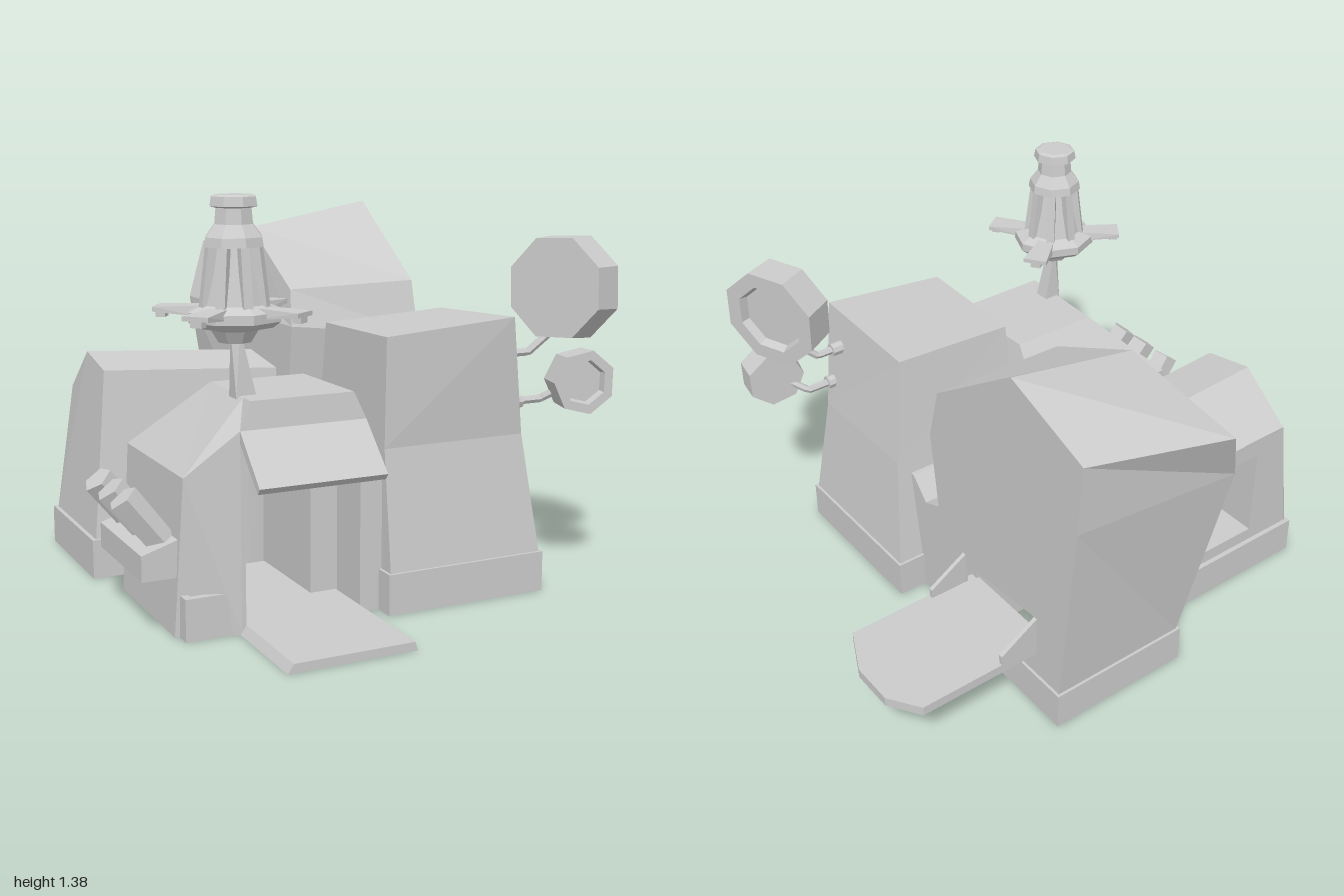
import * as THREE from 'three';
import { ConvexGeometry } from 'three/addons/geometries/ConvexGeometry.js';

const mat = new THREE.MeshStandardMaterial({ color: 0xcccccc, flatShading: true, side: THREE.DoubleSide });
const V = (x, y, z) => new THREE.Vector3(x, y, z);
const outline = pts => pts.map(p => new THREE.Vector2(...p));
const corners = (x0, x1, y0, y1) => [[x0, y0], [x1, y0], [x1, y1], [x0, y1]];

export function createModel() {
  const group = new THREE.Group();

  const add = (name, geo, parent = group) => {
    const m = new THREE.Mesh(geo, mat);
    m.name = name;
    parent.add(m);
    return m;
  };
  // Box given by its limits on each axis
  const box = (name, x0, x1, y0, y1, z0, z1, parent = group) => {
    const m = add(name, new THREE.BoxGeometry(x1 - x0, y1 - y0, z1 - z0), parent);
    m.position.set((x0 + x1) / 2, (y0 + y1) / 2, (z0 + z1) / 2);
  };
  const hull = (name, pts, parent = group) => add(name, new ConvexGeometry(pts.map(p => V(...p))), parent);
  // Flat polygons, each a loop of corners
  const panels = (name, polys) => {
    const pos = [];
    for (const p of polys)
      for (let i = 1; i < p.length - 1; i++) pos.push(...p[0], ...p[i], ...p[i + 1]);
    const g = new THREE.BufferGeometry();
    g.setAttribute('position', new THREE.Float32BufferAttribute(pos, 3));
    g.computeVertexNormals();
    add(name, g);
  };
  // Side faces between matching loops, leaving out some sides of the first band
  const band = (rings, skip = []) => {
    const polys = [];
    for (let b = 0; b < rings.length - 1; b++)
      rings[b].forEach((p, i) => {
        const j = (i + 1) % rings[b].length;
        if (b || !skip.includes(i)) polys.push([p, rings[b][j], rings[b + 1][j], rings[b + 1][i]]);
      });
    return polys;
  };
  // Upright wall with an opening
  const wall = (name, outer, hole) => {
    const s = new THREE.Shape(outline(outer));
    s.holes.push(new THREE.Path(outline(hole)));
    return add(name, new THREE.ShapeGeometry(s));
  };
  // Thin hollow foundation with a lip on top
  const plinth = (name, x0, x1, z0, z1) => {
    const loop = (y, d) => corners(x0 + d, x1 - d, z0 + d, z1 - d).map(([x, z]) => [x, y, z]);
    panels(name, band([loop(0, 0), loop(0.14, 0), loop(0.14, 0.025)]));
  };
  const plate = (name, pts, depth) =>
    add(name, new THREE.ExtrudeGeometry(new THREE.Shape(outline(pts)), { depth, bevelEnabled: false }));

  // Tall rear building with a slanted ridge, a bulging side and a side hatch
  plinth('tallBuildingPlinth', -0.11, 0.44, -0.805, -0.14);
  const right = [[-0.145, 0.14], [-0.065, 0.8], [-0.12, 1.0], [-0.53, 1.28], [-0.885, 1.15], [-0.865, 0.88], [-0.795, 0.14]]
    .map(([z, y]) => [0.43, y, z]);
  const left = [[-0.1, 0.14, -0.145], [-0.1, 0.86, -0.066], [-0.08, 0.99, -0.12], [-0.06, 1.19, -0.53],
    [-0.08, 1.1, -1.0], [-0.17, 0.88, -0.93], [-0.1, 0.14, -0.795]];
  panels('tallBuilding', [
    ...band([right, left], [6]),
    [left[0], left[1], left[5], left[6]], left.slice(1, 6)]);
  const hatchWall = wall('hatchWall', right.map(([, y, z]) => [-z, y]),
    [[0.265, 0.265], [0.65, 0.265], [0.65, 0.39], [0.265, 0.35]]);
  hatchWall.rotation.y = Math.PI / 2;
  hatchWall.position.x = 0.43;

  // Landing platform with side brackets
  const deck = plate('landingPlatform',
    [[0.38, 0.24], [0.89, 0.24], [0.965, 0.4], [0.965, 0.56], [0.89, 0.67], [0.38, 0.67]], 0.035);
  deck.rotation.x = -Math.PI / 2;
  deck.position.y = 0.23;
  for (const z of [-0.67, -0.26])
    plate('platformBracket', [[0.42, 0.25], [0.575, 0.25], [0.575, 0.3], [0.43, 0.39]], 0.015).position.z = z;

  // Front tower, pinched part way up
  plinth('towerPlinth', -0.1, 0.5, 0.075, 0.695);
  const towerRings = [
    [[-0.09, 0.14, 0.685], [0.49, 0.14, 0.685], [0.49, 0.14, 0.085], [-0.09, 0.14, 0.085]],
    [[-0.09, 0.55, 0.635], [0.44, 0.55, 0.635], [0.44, 0.55, 0.145], [-0.09, 0.55, 0.145]],
    [[-0.09, 0.92, 0.645], [0.38, 0.96, 0.67], [0.375, 0.935, 0.2], [-0.09, 0.91, 0.2]]];
  panels('frontTower', [...band(towerRings), towerRings[2]]);

  // Passages joining the buildings
  const passage = (name, x0, x1, prof) => {
    const ends = [x0, x1].map(x => prof.map(([z, y]) => [x, y, z]));
    panels(name, [...band(ends), ...ends.flatMap(e => [[e[0], e[1], e[2], e[3]], [e[0], e[3], e[4], e[5]]])]);
  };
  passage('centralPassage', -0.27, 0.39, [[0.45, 0], [0.45, 0.49], [0.12, 0.49], [0.045, 0.41], [-0.27, 0.54], [-0.27, 0]]);
  box('sidePassage', -0.69, -0.33, 0, 0.4, -0.43, 0.06);
  box('frontPassage', -0.17, -0.085, 0, 0.49, 0.17, 0.62);

  // Low rear building with an opening in its back wall
  plinth('lowBuildingPlinth', -0.86, -0.1, -0.615, -0.1);
  const prof = [[-0.6, 0.14], [-0.595, 0.61], [-0.39, 0.77], [-0.19, 0.73], [-0.11, 0.14]];
  const ends = [
    prof.map(([z, y]) => [y < 0.2 ? -0.845 : -0.775, y, z]),
    prof.map(([z, y]) => [-0.1, y > 0.7 ? y - 0.04 : y, z])];
  panels('lowBuilding', [...band(ends, [0, 4]), ...ends]);
  const win = [-0.65, -0.24, 0.19, 0.54];
  wall('lowBuildingBackWall', [[-0.845, 0.14], [-0.1, 0.14], [-0.1, 0.61], [-0.775, 0.61]], corners(...win)).position.z = -0.597;
  const [nicheFront, nicheBack] = [-0.597, -0.43].map(z => corners(...win).map(p => [...p, z]));
  panels('windowNiche', [...band([nicheFront, nicheBack]), nicheBack]);
  box('windowCabinet', -0.52, -0.42, 0.26, 0.4, -0.49, -0.43);

  // Entrance building: hipped hollow body, doorway, awning and ramp
  const rings = [
    [[-0.16, 0, 0.64], [-0.6, 0, 0.64], [-0.8, 0, 0.57], [-0.8, 0, 0.05], [-0.13, 0, 0.05]],
    [[-0.16, 0.66, 0.64], [-0.6, 0.66, 0.64], [-0.775, 0.52, 0.6], [-0.775, 0.52, 0.06], [-0.16, 0.52, 0.06]],
    [[-0.2, 0.75, 0.63], [-0.56, 0.75, 0.63], [-0.56, 0.75, 0.57], [-0.55, 0.75, 0.27], [-0.21, 0.75, 0.27]]];
  panels('entranceBuilding', [...band(rings, [0]), rings[2]]);
  wall('entranceWall', corners(-0.6, -0.16, 0, 0.66), corners(-0.585, -0.175, 0.03, 0.6)).position.z = 0.64;
  plinth('entrancePlinth', -0.785, -0.6, 0.04, 0.63);
  hull('awning', [-0.6, -0.16].flatMap(x => [[x, 0.66, 0.64], [x, 0.62, 0.64], [x, 0.51, 0.79], [x, 0.49, 0.775]]));
  hull('rampAndFloor', [
    ...corners(-0.605, -0.165, 0.06, 1).map(([x, z]) => [x, 0, z]),
    ...corners(-0.585, -0.175, 0.06, 1).map(([x, z]) => [x, 0.03, z])]);

  // Side ledge with three slanted tubes
  hull('sideLedge', [0.15, 0.57].flatMap(z => [[-0.905, 0.195, z], [-0.76, 0.195, z], [-0.905, 0.28, z], [-0.76, 0.325, z]]));
  [[0.21, 0.1], [0.36, -0.05], [0.49, -0.1]].forEach(([z, turn]) => {
    const tube = add('slantedTube', new THREE.CylinderGeometry(0.053, 0.047, 0.24, 5));
    tube.position.set(-0.86, 0.355, z);
    tube.rotation.set(turn, 0, 0.66);
  });

  // Bell-shaped beacon on a tapered mast
  const beacon = new THREE.Group();
  beacon.name = 'beacon';
  beacon.position.set(-0.56, 0, 0.51);
  group.add(beacon);
  hull('beaconMast', [[-0.015, 0.96, 0], [0.01, 0.96, 0.02], [0.01, 0.96, -0.02],
    [-0.01, 0.74, 0.03], [-0.01, 0.74, -0.03], [0.06, 0.74, 0.03], [0.06, 0.74, -0.03]], beacon);
  const bell = [[0, 0.92], [0.055, 0.92], [0.08, 0.96], [0.13, 0.97], [0.155, 0.99], [0.155, 1.02], [0.105, 1.04],
    [0.06, 1.22], [0.1, 1.22], [0.095, 1.25], [0.065, 1.29], [0.06, 1.34], [0.08, 1.345], [0.075, 1.375], [0.06, 1.38], [0, 1.38]];
  add('beaconBody', new THREE.LatheGeometry(outline(bell), 8), beacon);
  const spoke = (name, angle) => {
    const s = new THREE.Group();
    s.name = name;
    s.rotation.y = angle;
    beacon.add(s);
    return s;
  };
  for (let i = 0; i < 8; i++)
    hull('rib', [-0.015, 0.015].flatMap(z => [[0.09, 1.03, z], [0.115, 1.03, z], [0.06, 1.23, z], [0.09, 1.23, z]]),
      spoke('beaconRib', i * Math.PI / 4));
  for (const angle of [0.62, 2.53, 3.84, 5.33]) {
    const arm = spoke('beaconArm', angle);
    hull('armBlade', [[0.1, 1.0, 0.035], [0.1, 1.0, -0.035], [0.1, 1.035, 0.03], [0.1, 1.035, -0.03],
      [0.255, 1.015, 0.045], [0.255, 1.015, -0.045], [0.255, 1.03, 0.045], [0.255, 1.03, -0.045]], arm);
    box('armTip', 0.22, 0.25, 0.995, 1.015, -0.02, 0.02, arm);
  }

  // Two drum-shaped dishes on bent stems
  const dish = (name, r, depth, sides, pos, axis, stem) => {
    const h = depth / 2;
    const rim = [[0, -h], [r * 0.96, -h], [r, h], [r * 0.7, h], [r * 0.64, h * 0.5], [0, h * 0.5]];
    const m = add(name, new THREE.LatheGeometry(outline(rim), sides));
    m.position.set(...pos);
    m.quaternion.setFromUnitVectors(V(0, 1, 0), V(...axis).normalize());
    const path = new THREE.CurvePath();
    for (let i = 0; i < stem.length - 1; i++) path.add(new THREE.LineCurve3(V(...stem[i]), V(...stem[i + 1])));
    add(name + 'Stem', new THREE.TubeGeometry(path, 12, 0.014, 6));
    const knob = add(name + 'Knob', new THREE.CylinderGeometry(0.025, 0.025, 0.05, 8).rotateZ(Math.PI / 2));
    knob.position.set(...stem[0]);
  };
  dish('largeDish', 0.19, 0.125, 8, [0.62, 1.04, 0.6], [0.9, -0.05, -0.43],
    [[0.415, 0.82, 0.575], [0.5, 0.82, 0.575], [0.59, 0.9, 0.6]]);
  dish('smallDish', 0.112, 0.1, 7, [0.63, 0.73, 0.695], [-0.2, 0, 0.98],
    [[0.425, 0.66, 0.61], [0.53, 0.66, 0.61], [0.6, 0.71, 0.66]]);

  return group;
}
